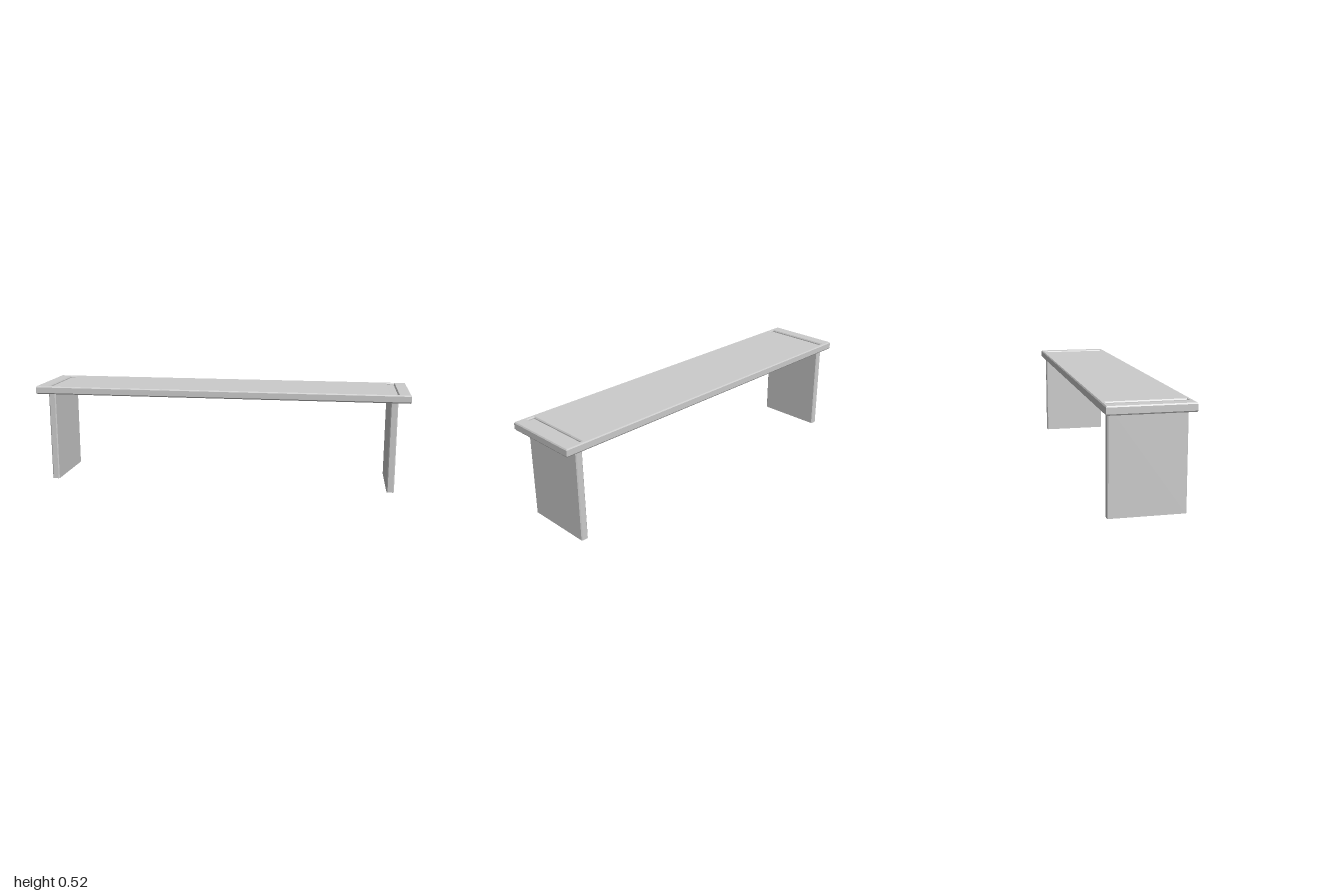
import * as THREE from 'three';

const TOP = 0.523, UNDER = 0.481, HALF_DEPTH = 0.205;
const BEVEL = 0.004, BEVEL_H = 0.006;
const LEG_X = 0.917, LEG_HALF_T = 0.019, LEG_HALF_W = 0.185, LEG_TOP = 0.512;

// Corners of a rectangle, each cut off by c
function rectPoints(cx, hx, hy, c = 0) {
  const pts = [];
  for (const [sx, sy, xFirst] of [[-1, -1, false], [1, -1, true], [1, 1, false], [-1, 1, true]]) {
    const alongX = new THREE.Vector2(cx + sx * (hx - c), sy * hy);
    const alongY = new THREE.Vector2(cx + sx * hx, sy * (hy - c));
    if (c === 0) pts.push(alongX);
    else pts.push(...(xFirst ? [alongX, alongY] : [alongY, alongX]));
  }
  return pts;
}

export function createModel() {
  const group = new THREE.Group();
  const material = new THREE.MeshStandardMaterial({ color: 0xcccccc, flatShading: true });

  const addUpright = (name, shape, options, y) => {
    const geometry = new THREE.ExtrudeGeometry(shape, options);
    geometry.rotateX(-Math.PI / 2);
    geometry.translate(0, y, 0);
    const mesh = new THREE.Mesh(geometry, material);
    mesh.name = name;
    group.add(mesh);
  };

  // Seat board with bevelled edges and a slot for each leg
  const board = new THREE.Shape(rectPoints(0, 1 - BEVEL, HALF_DEPTH - BEVEL));
  for (const side of [-1, 1]) {
    board.holes.push(new THREE.Path(
      rectPoints(side * LEG_X, LEG_HALF_T + BEVEL, LEG_HALF_W + BEVEL).reverse()));
  }
  addUpright('seatBoard', board, {
    depth: TOP - UNDER - 2 * BEVEL_H,
    bevelEnabled: true, bevelSize: BEVEL, bevelThickness: BEVEL_H, bevelSegments: 1,
  }, UNDER + BEVEL_H);

  // Panel legs with chamfered upright edges, ending just below the seat surface
  for (const [name, side] of [['leftLeg', 1], ['rightLeg', -1]]) {
    const outline = new THREE.Shape(rectPoints(side * LEG_X, LEG_HALF_T, LEG_HALF_W, 0.005));
    addUpright(name, outline, { depth: LEG_TOP, bevelEnabled: false }, 0);
  }
  return group;
}
